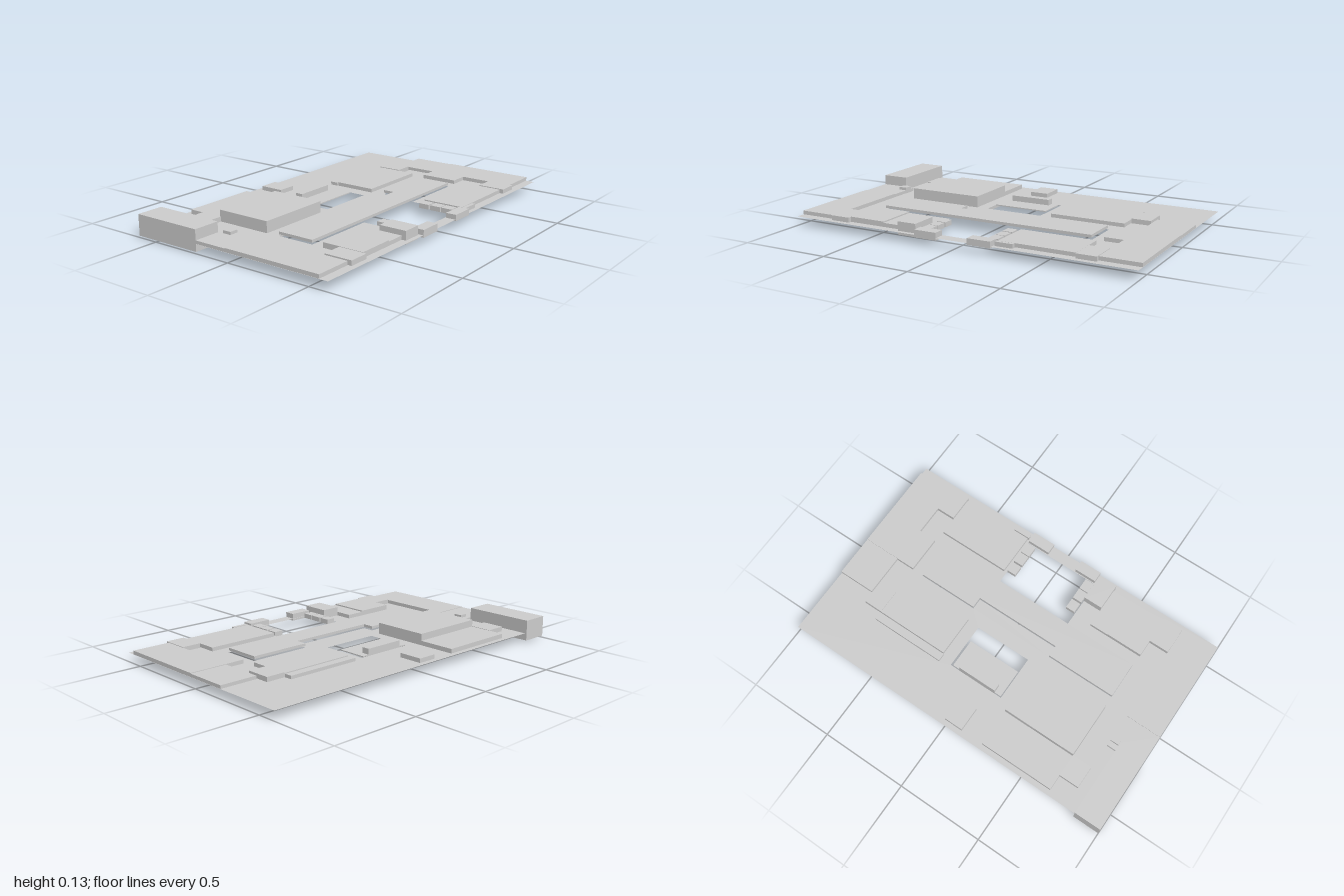
import * as THREE from 'three';

const material = new THREE.MeshStandardMaterial({ color: 0xcccccc, flatShading: true });
const sheetMaterial = new THREE.MeshStandardMaterial({ color: 0xcccccc, side: THREE.DoubleSide });

// Plan outlines are given as [x, z] pairs; shapes lie in XY and are tipped flat
const flat = ([x, z]) => new THREE.Vector2(x, -z);
const rect = (x0, x1, z0, z1) => [[x0, z0], [x1, z0], [x1, z1], [x0, z1]];

const GROUND = 0.051;

export function createModel() {
  const group = new THREE.Group();

  const add = (name, geometry, mat = material) => {
    const mesh = new THREE.Mesh(geometry, mat);
    mesh.name = name;
    group.add(mesh);
    return mesh;
  };

  const block = (name, x0, x1, z0, z1, y0, y1) => {
    const mesh = add(name, new THREE.BoxGeometry(x1 - x0, y1 - y0, z1 - z0));
    mesh.position.set((x0 + x1) / 2, (y0 + y1) / 2, (z0 + z1) / 2);
  };

  const slab = (name, outline, y0, y1) => {
    const shape = new THREE.Shape(outline.map(flat));
    const geometry = new THREE.ExtrudeGeometry(shape, { depth: y1 - y0, bevelEnabled: false });
    geometry.rotateX(-Math.PI / 2);
    add(name, geometry).position.y = y0;
  };

  // Ground sheet with the small court and the open plaza cut out
  const ground = new THREE.Shape(rect(-1, 1, -0.61, 0.61).map(flat));
  const court = rect(-0.17, 0.165, -0.31, -0.045);
  const plaza = [
    [-0.665, 0.035], [-0.255, 0.035], [-0.255, 0.1], [0.255, 0.1], [0.255, 0.035], [0.61, 0.035],
    [0.61, 0.25], [0.225, 0.25], [0.225, 0.545], [-0.235, 0.545], [-0.235, 0.25], [-0.665, 0.25],
  ];
  for (const hole of [court, plaza]) ground.holes.push(new THREE.Path(hole.map(flat)));
  const groundGeometry = new THREE.ShapeGeometry(ground);
  groundGeometry.rotateX(-Math.PI / 2);
  add('ground', groundGeometry, sheetMaterial).position.y = GROUND;

  // Long notched slab raised over the plaza opening
  slab('centralSlab', [
    [-0.665, 0.035], [-0.255, 0.035], [-0.255, 0.1], [0.255, 0.1],
    [0.255, 0.035], [0.605, 0.035], [0.605, 0.25], [-0.665, 0.25],
  ], 0.06, 0.075);

  // Low slabs along both side edges
  block('rightBackPad', -1, -0.79, -0.21, -0.015, GROUND + 0.001, 0.07);
  block('rightFrontPad', -1, -0.79, -0.015, 0.56, GROUND + 0.001, 0.073);
  block('leftBackPad', 0.785, 1, -0.21, 0.035, GROUND + 0.001, 0.07);
  slab('leftFrontPad', [
    [0.675, 0.035], [1, 0.035], [1, 0.56], [0.78, 0.56], [0.78, 0.25], [0.675, 0.25],
  ], GROUND + 0.001, 0.073);

  // Right half: the tall corner block, the main hall and their neighbours
  block('cornerTower', -1, -0.845, -0.62, -0.21, 0.01, 0.127);
  block('towerAnnex', -0.84, -0.79, -0.18, -0.13, 0.037, 0.086);
  block('sideAnnex', -0.785, -0.67, -0.49, -0.36, 0.045, 0.078);
  block('hallBackWing', -0.67, -0.235, -0.58, -0.365, 0.041, 0.076);
  block('mainHall', -0.67, -0.235, -0.365, -0.04, 0, 0.115);
  block('rightFrontAnnex', -0.785, -0.67, 0.42, 0.58, 0.045, 0.078);
  block('rightFrontHall', -0.67, -0.455, 0.32, 0.56, 0.039, 0.08);
  block('rightFrontLink', -0.455, -0.345, 0.32, 0.56, 0.048, 0.073);
  block('rightFrontTower', -0.345, -0.235, 0.425, 0.585, 0.03, 0.102);

  // Left half: low halls and annexes
  block('leftBackHall', 0.235, 0.665, -0.28, -0.04, GROUND + 0.001, 0.073);
  block('leftBackGallery', 0.23, 0.665, -0.33, -0.285, GROUND + 0.001, 0.07);
  block('leftBackAnnex', 0.665, 0.775, -0.28, -0.14, 0.044, 0.077);
  block('leftFrontHall', 0.24, 0.665, 0.32, 0.56, GROUND + 0.001, 0.073);
  block('leftFrontAnnex', 0.67, 0.78, 0.425, 0.58, 0.046, 0.076);
  block('leftFrontStep', 0.235, 0.335, 0.565, 0.585, 0.047, 0.074);

  // Middle buildings: rear kiosk, court floor and the bar above it
  block('rearKiosk', -0.1, 0.01, -0.58, -0.44, 0.041, 0.075);
  block('courtFloor', -0.165, 0.152, -0.305, -0.135, 0.05, 0.056);
  block('courtBar', -0.125, 0.11, -0.305, -0.26, 0.03, 0.088);

  // Gatehouses and the rows of small booths beside the plaza
  block('rightGatehouse', -0.225, -0.095, 0.55, 0.612, 0.038, 0.08);
  block('leftGatehouse', 0.09, 0.225, 0.55, 0.612, 0.043, 0.078);
  for (const [z0, z1] of [[0.33, 0.39], [0.4, 0.465], [0.47, 0.535]]) {
    block('rightBooth', -0.23, -0.175, z0, z1, 0.045, 0.072);
    block('leftBooth', 0.17, 0.225, z0, z1, 0.045, 0.072);
  }

  return group;
}
